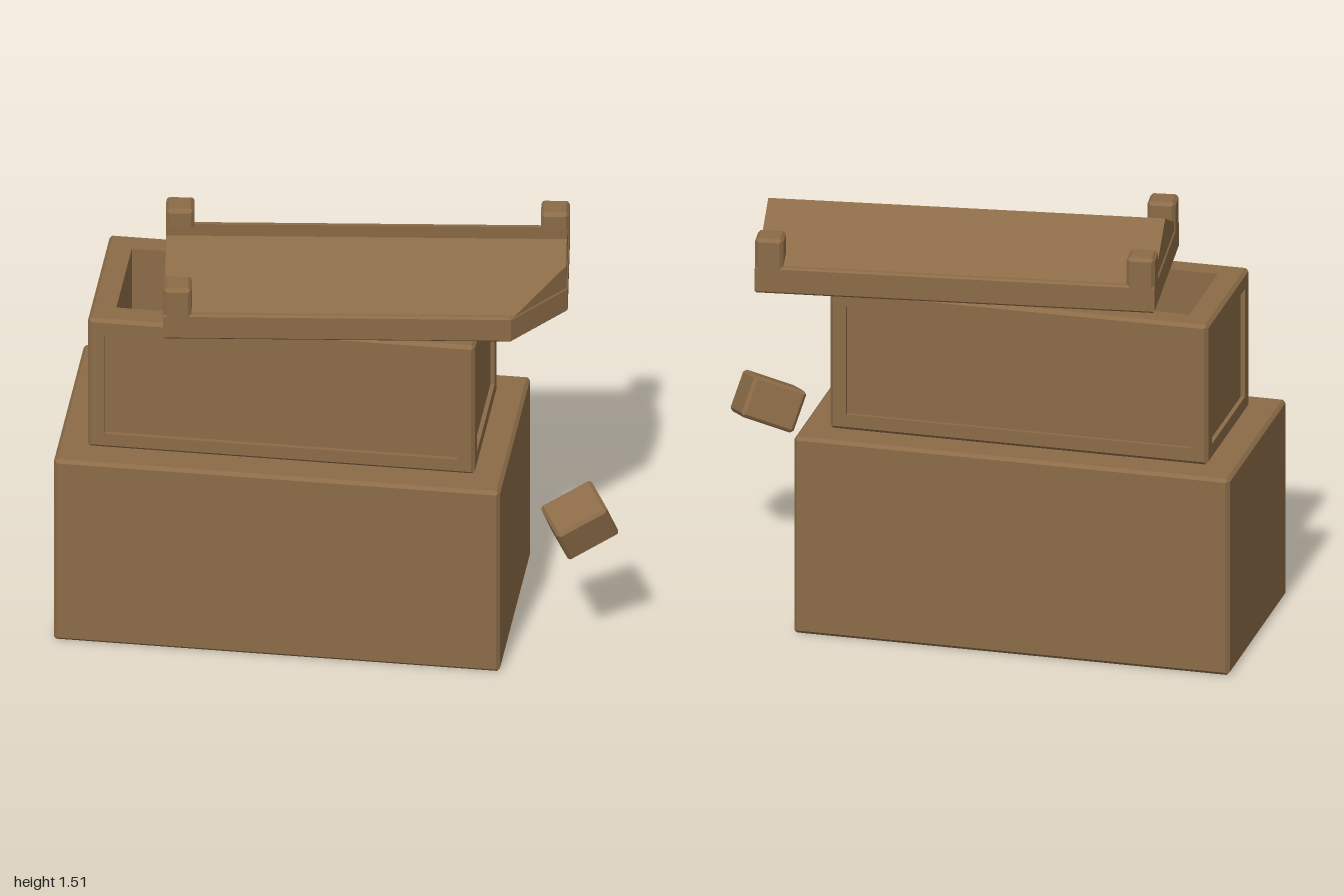
import * as THREE from 'three';
import { ConvexGeometry } from 'three/addons/geometries/ConvexGeometry.js';

const stone = new THREE.MeshStandardMaterial({ color: 0x8b6b47 });
stone.name = 'brown stone';

// Chamfered box; panels maps a face key ('x','y','z' plus '+' or '-') to [margin, depth] of a recess
function chamferBox(size, c, panels = {}) {
  const pos = [];
  for (let k = 0; k < 3; k++) {
    for (const s of [-1, 1]) {
      const u = (k + 1) % 3, v = (k + 2) % 3;
      const corners = (inset, depth) =>
        [[-1, -1], [1, -1], [1, 1], [-1, 1]].map(([a, b]) => {
          const p = [0, 0, 0];
          p[k] = s * (size[k] / 2 - depth);
          p[u] = s * a * (size[u] / 2 - inset);
          p[v] = b * (size[v] / 2 - inset);
          return p;
        });
      const quad = (a, b, d, e) => pos.push(...a, ...b, ...d, ...a, ...d, ...e);
      // rings run from the chamfer's middle to the face, then into the recess
      const rings = [corners(c / 2, c / 2), corners(c, 0)];
      const panel = panels['xyz'[k] + (s > 0 ? '+' : '-')];
      if (panel) rings.push(corners(panel[0], 0), corners(panel[0], panel[1]));
      for (let r = 0; r + 1 < rings.length; r++) {
        for (let i = 0; i < 4; i++) {
          const j = (i + 1) % 4;
          quad(rings[r][i], rings[r][j], rings[r + 1][j], rings[r + 1][i]);
        }
      }
      quad(...rings[rings.length - 1]);
    }
  }
  const g = new THREE.BufferGeometry();
  g.setAttribute('position', new THREE.Float32BufferAttribute(pos, 3));
  g.computeVertexNormals();
  return g;
}

function add(parent, name, geometry, x = 0, y = 0, z = 0) {
  const mesh = new THREE.Mesh(geometry, stone);
  mesh.name = name;
  mesh.position.set(x, y, z);
  parent.add(mesh);
  return mesh;
}

export function createModel() {
  const model = new THREE.Group();
  model.name = 'stoneTomb';

  // Plinth
  add(model, 'plinth', chamferBox([1.585, 0.745, 0.79], 0.012), -0.205, 0.3725, -0.015);

  // Hollow chest with sunken panels on its four sides
  const side = [0.06, 0.015];
  add(model, 'chest', chamferBox([1.375, 0.53, 0.575], 0.012,
    { 'x+': side, 'x-': side, 'z+': side, 'z-': side, 'y+': [0.09, 0.4] }), -0.203, 1.01, -0.0125);

  // Lid, turned askew, with one broken corner
  const lid = new THREE.Group();
  lid.name = 'lid';
  lid.position.set(0.06, 1.28, -0.0175);
  lid.rotation.y = 0.12;
  model.add(lid);

  const L = 0.71, W = 0.315, H = 0.1, bevel = 0.007;
  const outline = [[-L, -W], [0.515, -W], [L, -0.104], [L, W], [-L, W]];
  const slab = new THREE.ExtrudeGeometry(
    new THREE.Shape(outline.map(([x, y]) => new THREE.Vector2(x, y))),
    { depth: H - 2 * bevel, bevelEnabled: true, bevelSize: bevel, bevelThickness: bevel,
      bevelOffset: -bevel, bevelSegments: 1 });
  slab.rotateX(-Math.PI / 2);
  add(lid, 'lidSlab', slab, 0, bevel, 0);

  // Gabled top of the lid, cut by the same break
  const E = 0.705, R = 0.303, ridge = 0.235;
  const roof = [
    [-E, H, -R], [-E, H, R], [-E, ridge, 0],
    [E, ridge, 0], [E, H, -R], [E, 0.189, 0.104], [E, H, 0.104], [0.522, H, R],
  ].map((p) => new THREE.Vector3(...p));
  // start slightly inside the slab
  for (const p of roof) if (p.y === H) p.y -= 0.004;
  add(lid, 'lidRoof', new ConvexGeometry(roof));

  // Corner posts on the three whole corners
  const post = chamferBox([0.1, 0.205, 0.1], 0.012);
  for (const [sx, sz] of [[-1, -1], [-1, 1], [1, -1]]) {
    add(lid, 'cornerPost', post, sx * (L - 0.05), 0.1025, sz * (W - 0.05));
  }

  // Tumbling fragment from the broken corner
  const chunk = add(model, 'brokenFragment', chamferBox([0.203, 0.155, 0.167], 0.012), 0.8575, 0.5875, 0.2695);
  const ax = new THREE.Vector3(0.17, 0.08, -0.08).normalize();
  const az = ax.clone().cross(new THREE.Vector3(-0.03, 0.14, 0.054)).normalize();
  const ay = az.clone().cross(ax);
  chunk.quaternion.setFromRotationMatrix(new THREE.Matrix4().makeBasis(ax, ay, az));

  return model;
}
